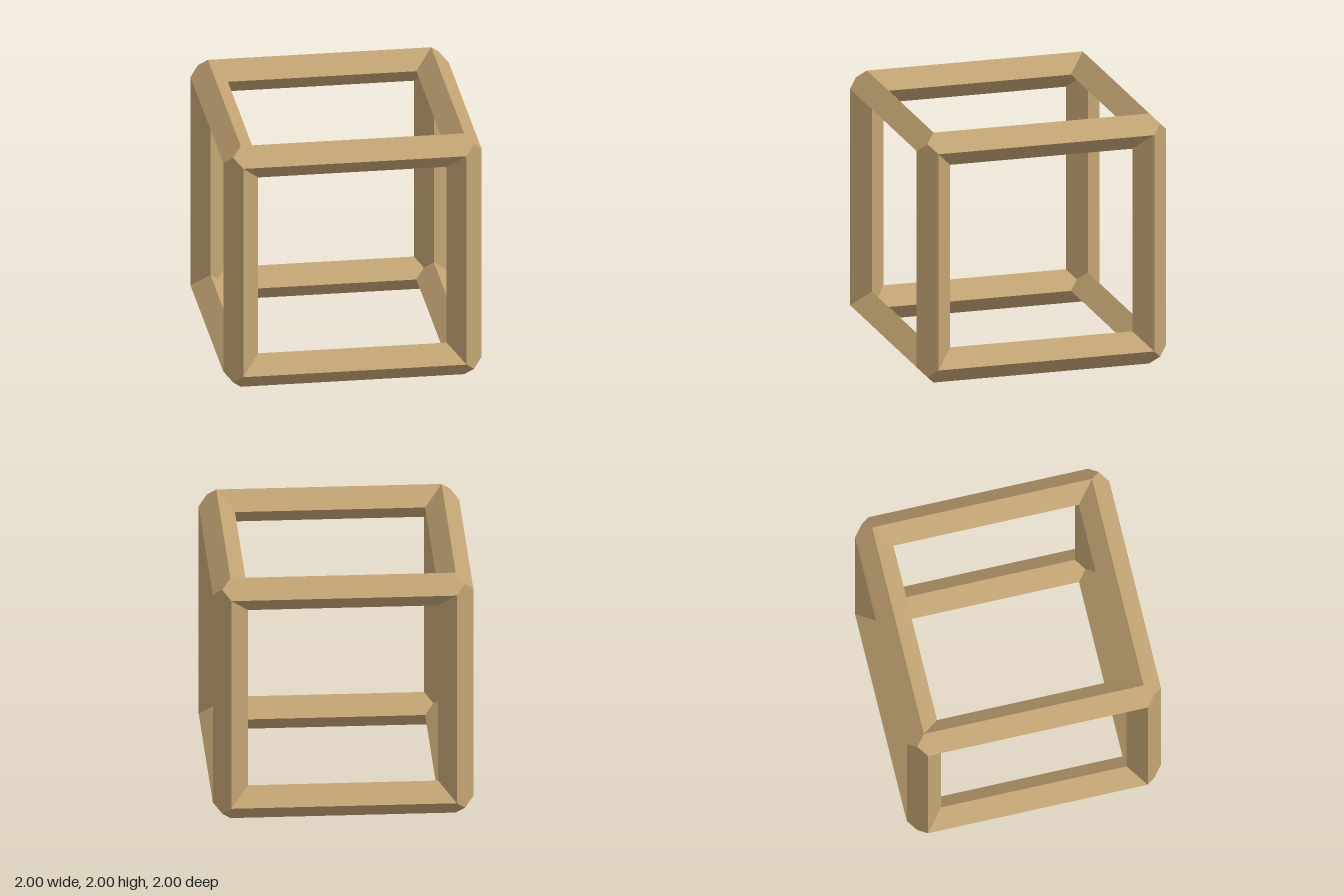
import * as THREE from 'three';

const MID = 0.865, INNER = 0.73;            // centre line and inner edge of every bar
const OUT = (1 + MID) / 2, IN = (INNER + MID) / 2;

// Diamond section (x, z) of an upright bar, with the mitre points added on the outer and inner faces
const SECTION = [[1, MID], [OUT, OUT], [MID, 1], [INNER, MID], [IN, IN], [MID, INNER]];

// Upright bar whose ends are mitred on the planes |y| = x and |y| = z
function mitredBar() {
  const positions = [], index = [];
  SECTION.forEach(([x, z]) => {
    const end = Math.min(x, z);
    positions.push(x, -end, z, x, end, z);
  });
  const n = SECTION.length;
  for (let i = 0; i < n; i++) {
    const a = 2 * i, b = 2 * ((i + 1) % n);
    index.push(a, a + 1, b, b, a + 1, b + 1);
  }
  const indexed = new THREE.BufferGeometry();
  indexed.setAttribute('position', new THREE.Float32BufferAttribute(positions, 3));
  indexed.setIndex(index);
  const geometry = indexed.toNonIndexed();
  geometry.computeVertexNormals();
  return geometry;
}

export function createModel() {
  const model = new THREE.Group();
  model.name = 'cubeFrame';
  const material = new THREE.MeshStandardMaterial({ color: 0xc4a574 });
  const bar = mitredBar();

  // Four parallel bars along each of the three axes
  const directions = [
    ['uprightBars', 0, 0],
    ['widthBars', 0, Math.PI / 2],
    ['depthBars', Math.PI / 2, 0],
  ];
  for (const [name, rx, rz] of directions) {
    const set = new THREE.Group();
    set.name = name;
    for (let k = 0; k < 4; k++) {
      const mesh = new THREE.Mesh(bar, material);
      mesh.name = 'bar';
      mesh.rotation.y = k * Math.PI / 2;
      set.add(mesh);
    }
    set.rotation.set(rx, 0, rz);
    set.position.y = 1;
    model.add(set);
  }
  return model;
}
